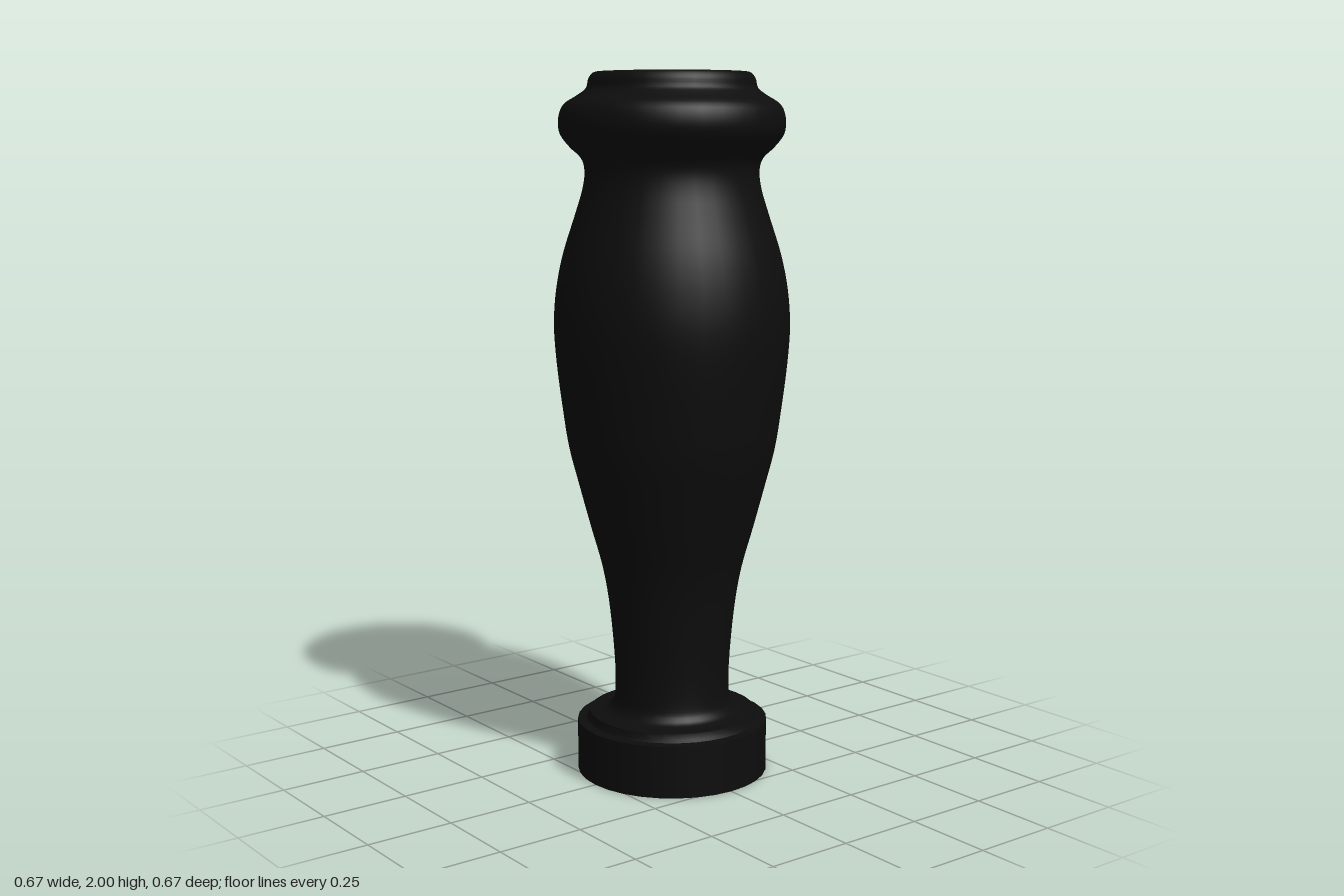
import * as THREE from 'three';

const black = new THREE.MeshStandardMaterial({ color: 0x0d0d0d });
black.name = 'black rubber';
const grey = new THREE.MeshStandardMaterial({ color: 0xa3a39d });
grey.name = 'grey bore';

const toPoints = (list) => list.map(([r, y]) => new THREE.Vector2(r, y));

export function createModel() {
  const group = new THREE.Group();
  group.name = 'grip';

  // Revolves a profile; listed upwards it faces outwards, downwards it faces inwards
  const turn = (name, points, material, segments = 32) => {
    const mesh = new THREE.Mesh(new THREE.LatheGeometry(points, segments), material);
    mesh.name = name;
    group.add(mesh);
  };

  // Base disc: separate strips keep its edges crisp
  turn('baseUnderside', toPoints([[0, 0], [0.275, 0]]), black);
  turn('baseSide', toPoints([[0.275, 0], [0.275, 0.15]]), black);
  turn('baseLedge', toPoints([[0.275, 0.15], [0.25, 0.152]]), black);
  turn('baseStep', toPoints([[0.25, 0.152], [0.243, 0.158], [0.24, 0.175]]), black);

  // Neck, swelling body and collar bead in one smooth curve
  const body = new THREE.SplineCurve(toPoints([
    [0.24, 0.175], [0.195, 0.178], [0.175, 0.193], [0.166, 0.225], [0.166, 0.32],
    [0.18, 0.48], [0.2, 0.6], [0.233, 0.72], [0.265, 0.84], [0.293, 0.95],
    [0.31, 1.06], [0.326, 1.19], [0.333, 1.3], [0.326, 1.4], [0.306, 1.5],
    [0.271, 1.61], [0.25, 1.68], [0.244, 1.73], [0.254, 1.765], [0.285, 1.795],
    [0.311, 1.83], [0.316, 1.87], [0.302, 1.91], [0.262, 1.937], [0.239, 1.955],
    [0.232, 1.98], [0.222, 1.995], [0.212, 2],
  ]));
  turn('body', body.getPoints(108), black);

  // Flat lip around the mouth
  turn('lip', toPoints([[0.212, 2], [0.19, 2]]), black, 64);

  // Straight bore with a flat floor
  turn('boreWall', toPoints([[0.19, 2], [0.19, 1]]), grey, 64);
  turn('boreFloor', toPoints([[0.19, 1], [0, 1]]), grey, 64);

  return group;
}
